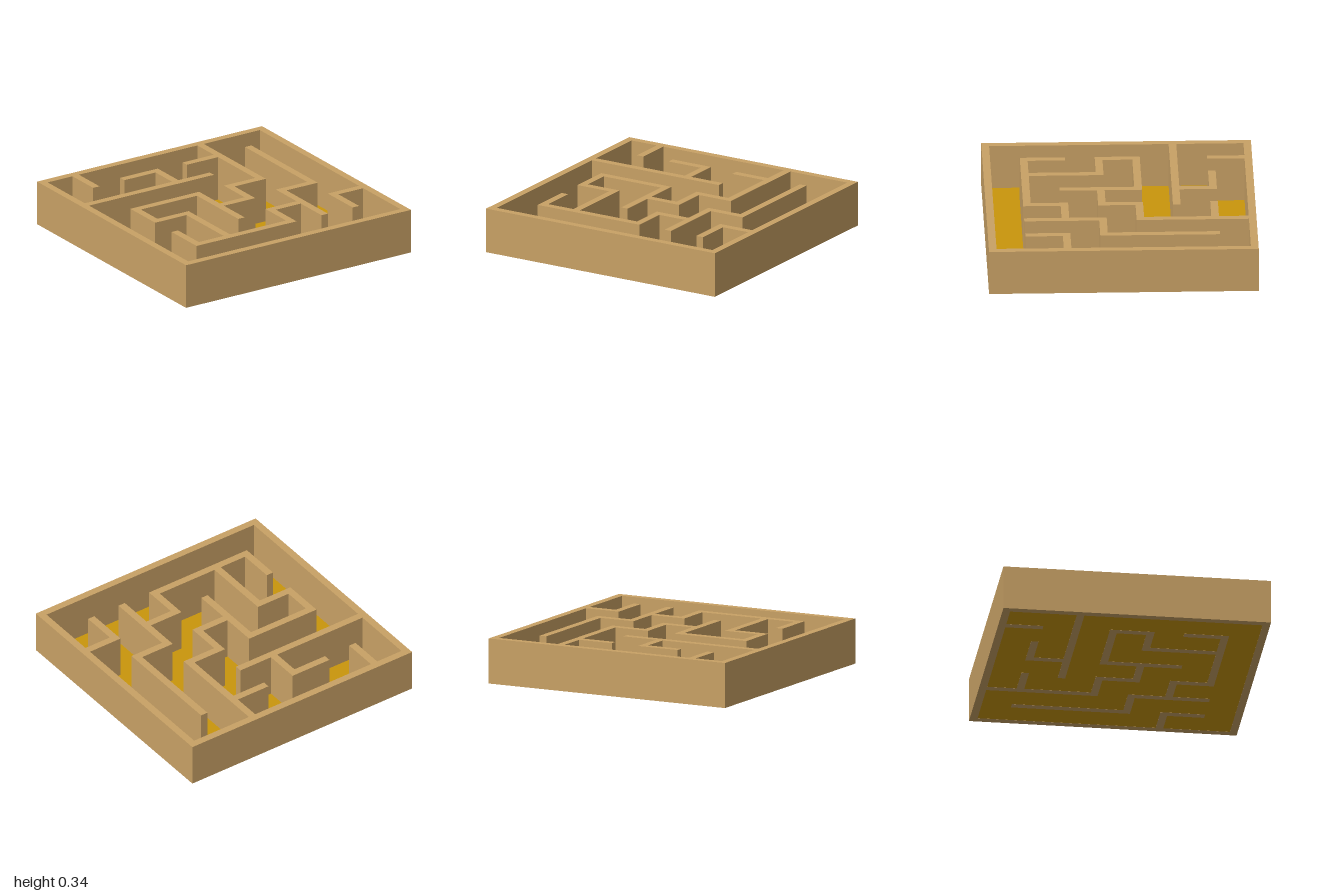
import * as THREE from 'three';

const HEIGHT = 0.34;
const HALF = 0.0285; // half of a wall's thickness
const CELLS = 7;
const PITCH = (2 - 2 * HALF) / CELLS;
const grid = (i) => -1 + HALF + i * PITCH;

// Centre lines of the inner walls in grid corners [x, z], 0..7 from the left back.
// startsOn / endsOn: that end butts against another wall instead of standing free.
const WALLS = [
  { path: [[1, 0], [1, 1]], startsOn: true },
  { path: [[0, 2], [4, 2]], startsOn: true },
  { path: [[3, 2], [3, 1], [2, 1]], startsOn: true },
  { path: [[5, 0], [5, 3], [4, 3], [4, 4], [3, 4]], startsOn: true, endsOn: true },
  { path: [[5, 1], [4, 1]], startsOn: true },
  { path: [[3, 5], [3, 3], [1, 3], [1, 4], [2, 4], [2, 6]], endsOn: true },
  { path: [[1, 5], [1, 6], [4, 6], [4, 5], [5, 5]], endsOn: true },
  { path: [[5, 6], [5, 4], [6, 4], [6, 1]] },
  { path: [[7, 5], [6, 5], [6, 6]], startsOn: true },
];

// Widens a right-angled centre line into a closed outline with mitred corners
function wallOutline({ path, startsOn, endsOn }) {
  const pts = path.map(([x, z]) => new THREE.Vector2(grid(x), grid(z)));
  const dirs = pts.slice(1).map((p, i) => p.clone().sub(pts[i]).normalize());
  const last = pts.length - 1;
  pts[0].addScaledVector(dirs[0], startsOn ? HALF : -HALF);
  pts[last].addScaledVector(dirs[last - 1], endsOn ? -HALF : HALF);

  const left = [], right = [];
  pts.forEach((p, i) => {
    const offset = new THREE.Vector2();
    for (const d of [dirs[i - 1], dirs[i]]) if (d) offset.add(new THREE.Vector2(-d.y, d.x));
    left.push(p.clone().addScaledVector(offset, HALF));
    right.push(p.clone().addScaledVector(offset, -HALF));
  });
  return new THREE.Shape([...right, ...left.reverse()]);
}

function square(half, Type) {
  return new Type([[-1, -1], [1, -1], [1, 1], [-1, 1]].map(([x, y]) => new THREE.Vector2(x * half, y * half)));
}

// Stands a floor-plan shape up from the ground
function raise(shape) {
  return new THREE.ExtrudeGeometry(shape, { depth: HEIGHT, bevelEnabled: false })
    .rotateX(Math.PI / 2)
    .translate(0, HEIGHT, 0);
}

export function createModel() {
  const group = new THREE.Group();
  group.name = 'mazeTray';
  const wood = new THREE.MeshStandardMaterial({ color: 0xc8a165 });
  const gold = new THREE.MeshStandardMaterial({ color: 0xc9960c, side: THREE.DoubleSide });

  const add = (name, geometry, material, parent = group) => {
    const mesh = new THREE.Mesh(geometry, material);
    mesh.name = name;
    parent.add(mesh);
    return mesh;
  };

  // Outer frame
  const frame = square(1, THREE.Shape);
  frame.holes.push(square(1 - 2 * HALF, THREE.Path));
  add('outerFrame', raise(frame), wood);

  // Maze walls
  const walls = new THREE.Group();
  walls.name = 'mazeWalls';
  group.add(walls);
  WALLS.forEach((wall, i) => add(`mazeWall${i + 1}`, raise(wallOutline(wall)), wood, walls));

  // Thin floor, a hair above the undersides of the walls
  const side = 2 - 4 * HALF;
  add('floor', new THREE.PlaneGeometry(side, side).rotateX(-Math.PI / 2).translate(0, 0.001, 0), gold);

  return group;
}
